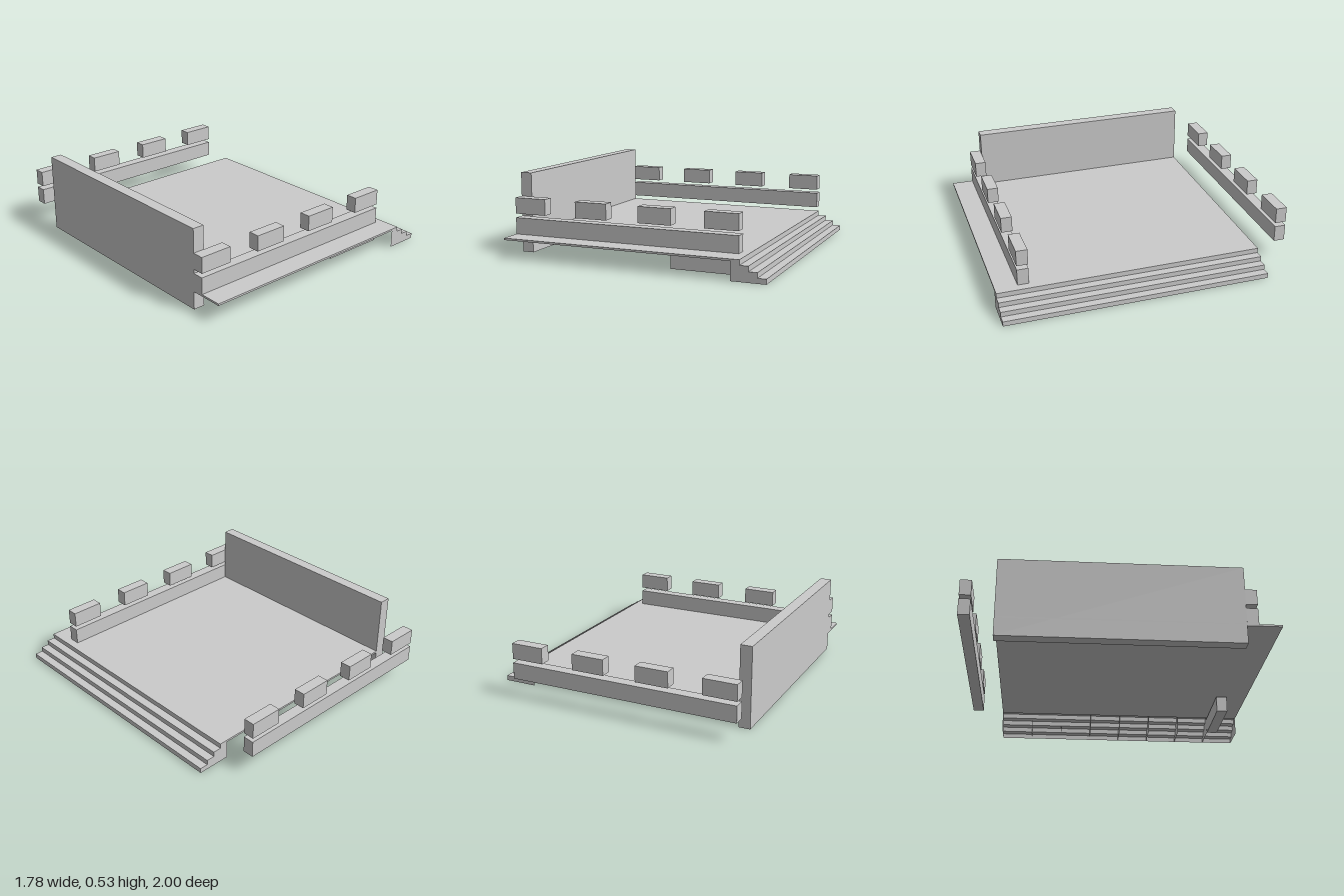
import * as THREE from 'three';

const grey = new THREE.MeshStandardMaterial({ color: 0xcccccc, flatShading: true });
const thin = new THREE.MeshStandardMaterial({ color: 0xcccccc, flatShading: true, side: THREE.DoubleSide });

const UNIT = 2 / 9;            // masonry module
const LEFT = -0.89, EDGE = 0.667, BACK = -0.778, FRONT = 1;
const DECK = 0.133;            // height of the floor
const STEPS = 4;

// Box given by its limits on each axis
function block(name, [x0, x1], [y0, y1], [z0, z1]) {
  const mesh = new THREE.Mesh(new THREE.BoxGeometry(x1 - x0, y1 - y0, z1 - z0), grey);
  mesh.name = name;
  mesh.position.set((x0 + x1) / 2, (y0 + y1) / 2, (z0 + z1) / 2);
  return mesh;
}

// Parapet: a long rail with separate merlons floating just above it
function parapet(name, z0) {
  const group = new THREE.Group();
  group.name = name;
  const z = [z0, z0 + 0.075];
  group.add(block('rail', [LEFT, EDGE], [DECK, 0.243], z));
  for (let i = 0; i < 4; i++) {
    const x = LEFT + i * 2 * UNIT;
    group.add(block('merlon', [x, x + UNIT], [0.27, 0.376], z));
  }
  return group;
}

// Hollow staircase: stepped skin carried by thin stringers
function staircase() {
  const group = new THREE.Group();
  group.name = 'staircase';
  const run = (0.889 - EDGE) / STEPS, rise = DECK / STEPS;
  const depth = FRONT - BACK, zMid = (FRONT + BACK) / 2;

  const profile = new THREE.Shape();
  profile.moveTo(EDGE, 0);
  for (let i = 0; i < STEPS; i++) {
    const x = 0.889 - i * run, y = i * rise;
    profile.lineTo(x, y);
    profile.lineTo(x, y + rise);

    const tread = new THREE.Mesh(new THREE.PlaneGeometry(run, depth), thin);
    tread.name = 'tread';
    tread.rotation.x = -Math.PI / 2;
    tread.position.set(x - run / 2, y + rise, zMid);

    const riser = new THREE.Mesh(new THREE.PlaneGeometry(depth, rise), thin);
    riser.name = 'riser';
    riser.rotation.y = Math.PI / 2;
    riser.position.set(x, y + rise / 2, zMid);
    group.add(tread, riser);
  }
  profile.lineTo(EDGE, DECK);
  profile.closePath();

  const side = new THREE.ShapeGeometry(profile);
  for (let i = 0; i <= 8; i++) {
    const stringer = new THREE.Mesh(side, thin);
    stringer.name = 'stringer';
    stringer.position.z = BACK + i * depth / 8;
    group.add(stringer);
  }
  return group;
}

export function createModel() {
  const model = new THREE.Group();
  model.name = 'terrace';
  model.add(
    block('floor', [LEFT, EDGE], [0.12, DECK], [BACK, FRONT]),
    block('endWall', [LEFT, -0.812], [0, 0.534], [BACK, 0.778]),
    block('supportBlock', [UNIT, EDGE], [0, 0.11], [0.778, 0.853]),
    parapet('frontParapet', 0.778),
    parapet('backParapet', -1),
    staircase(),
  );
  return model;
}
